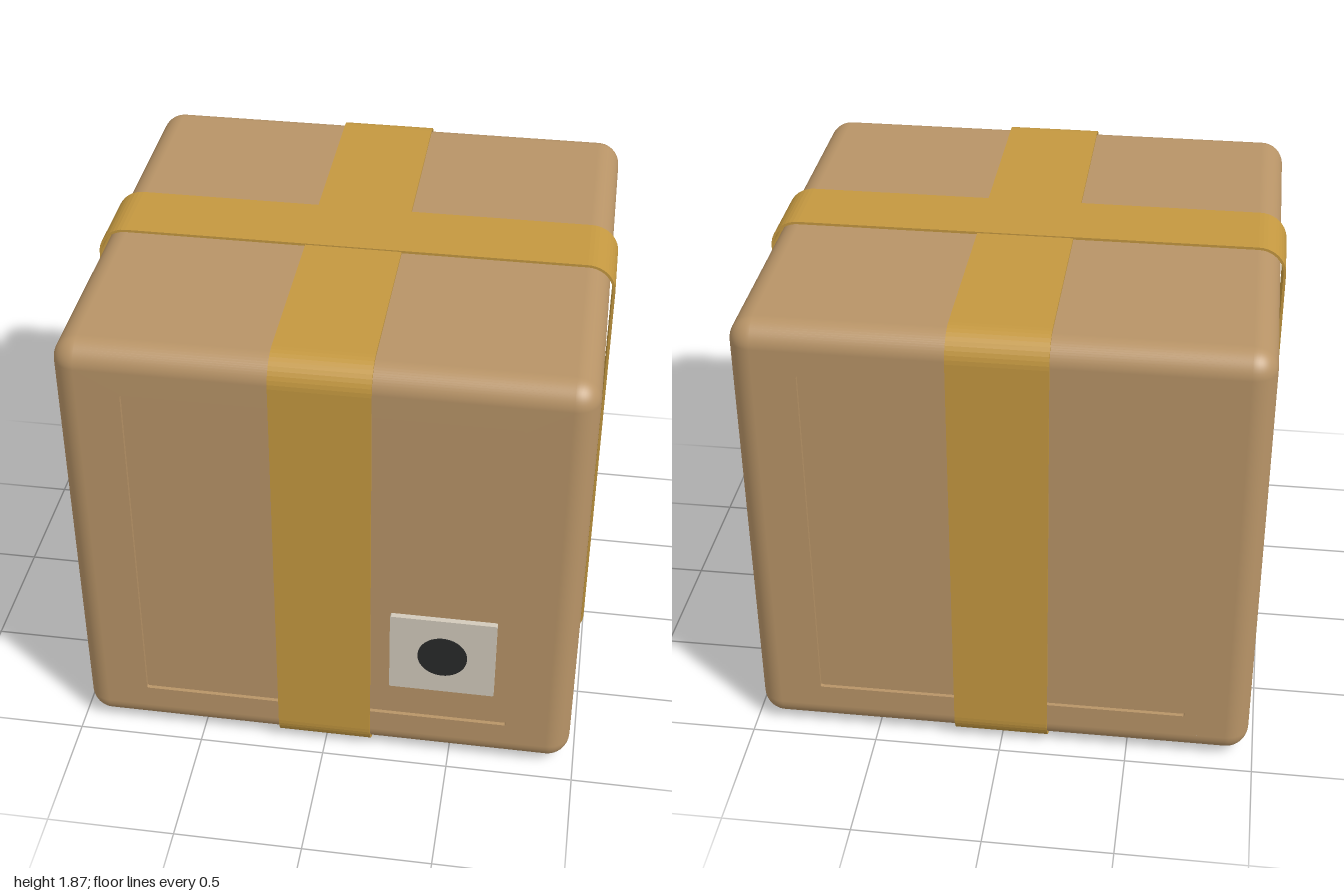
import * as THREE from 'three';
import { RoundedBoxGeometry } from 'three/addons/geometries/RoundedBoxGeometry.js';

const W = 1.956, H = 1.82, D = 1.888, R = 0.09; // carton size and corner radius
const MID = 0.9325;                             // height of the centre
const PANEL = 1.45, RECESS = 0.015;             // sunken panel on front and back

const mat = (color) => new THREE.MeshStandardMaterial({ color });

function add(parent, name, geometry, material, x = 0, y = 0, z = 0) {
  const mesh = new THREE.Mesh(geometry, material);
  mesh.name = name;
  mesh.position.set(x, y, z);
  parent.add(mesh);
  return mesh;
}

// Rounded rectangle centred on the origin, drawn into a Shape or Path
function roundRect(path, w, h, r) {
  const x = w / 2, y = h / 2, q = Math.PI / 2;
  path.moveTo(-x + r, -y);
  path.lineTo(x - r, -y);
  path.absarc(x - r, -y + r, r, -q, 0);
  path.lineTo(x, y - r);
  path.absarc(x - r, y - r, r, 0, q);
  path.lineTo(-x + r, y);
  path.absarc(-x + r, y - r, r, q, 2 * q);
  path.lineTo(-x, -y + r);
  path.absarc(-x + r, -y + r, r, 2 * q, 3 * q);
  return path;
}

// Rounded carton without its flat front and back, which get a recess instead
function openShell() {
  const box = new RoundedBoxGeometry(W, H, D, 6, R);
  const p = box.attributes.position, n = box.attributes.normal;
  const pos = [], nor = [];
  for (let i = 0; i < p.count; i += 3) {
    const flat = [0, 1, 2].every((k) => Math.abs(Math.abs(p.getZ(i + k)) - D / 2) < 1e-4);
    if (flat) continue;
    for (let k = i; k < i + 3; k++) {
      pos.push(p.getX(k), p.getY(k), p.getZ(k));
      nor.push(n.getX(k), n.getY(k), n.getZ(k));
    }
  }
  const g = new THREE.BufferGeometry();
  g.setAttribute('position', new THREE.Float32BufferAttribute(pos, 3));
  g.setAttribute('normal', new THREE.Float32BufferAttribute(nor, 3));
  return g;
}

// Closed strap of tape running around the carton
function strap(w, h, width) {
  const t = 0.01, r = 0.11;
  const shape = roundRect(new THREE.Shape(), w, h, r);
  shape.holes.push(roundRect(new THREE.Path(), w - 2 * t, h - 2 * t, r - t));
  const g = new THREE.ExtrudeGeometry(shape, { depth: width, bevelEnabled: false, curveSegments: 5 });
  return g.translate(0, 0, -width / 2);
}

export function createModel() {
  const model = new THREE.Group();
  model.name = 'parcel';
  const cardboard = mat(0xb89467), tape = mat(0xc49840);
  const paper = mat(0xd2cabb), ink = mat(0x282a2a);

  add(model, 'carton', openShell(), cardboard, 0, MID, 0);

  // Front and back faces: frame with a sunken panel
  const frameShape = new THREE.Shape();
  roundRect(frameShape, W - 2 * R, H - 2 * R, 0.0001);
  frameShape.holes.push(roundRect(new THREE.Path(), PANEL, PANEL, 0.008));
  const frame = new THREE.ExtrudeGeometry(frameShape, { depth: RECESS, bevelEnabled: false, curveSegments: 2 });
  for (const side of ['front', 'back']) {
    const face = new THREE.Group();
    face.name = side + 'Face';
    face.position.y = MID;
    if (side === 'back') face.rotation.y = Math.PI;
    add(face, side + 'Frame', frame, cardboard, 0, 0, D / 2 - RECESS);
    add(face, side + 'Panel', new THREE.PlaneGeometry(PANEL, PANEL), cardboard, 0, 0, D / 2 - RECESS);
    model.add(face);
  }

  // Two crossing straps of tape
  add(model, 'sideStrap', strap(2, 1.865, 0.3), tape, 0, MID, 0);
  const lengthStrap = add(model, 'lengthStrap', strap(1.912, 1.855, 0.37), tape, 0, MID, 0);
  lengthStrap.rotation.y = Math.PI / 2;

  // Paper label with a round mark
  const labelShape = roundRect(new THREE.Shape(), 0.41, 0.365, 0.006);
  const label = new THREE.ExtrudeGeometry(labelShape, { depth: 0.022, bevelEnabled: false, curveSegments: 2 });
  add(model, 'label', label, paper, 0.465, 0.55, D / 2 - RECESS);
  const dot = add(model, 'labelDot', new THREE.CylinderGeometry(0.096, 0.096, 0.008, 40), ink, 0.465, 0.55, D / 2 + 0.006);
  dot.rotation.x = Math.PI / 2;

  return model;
}
